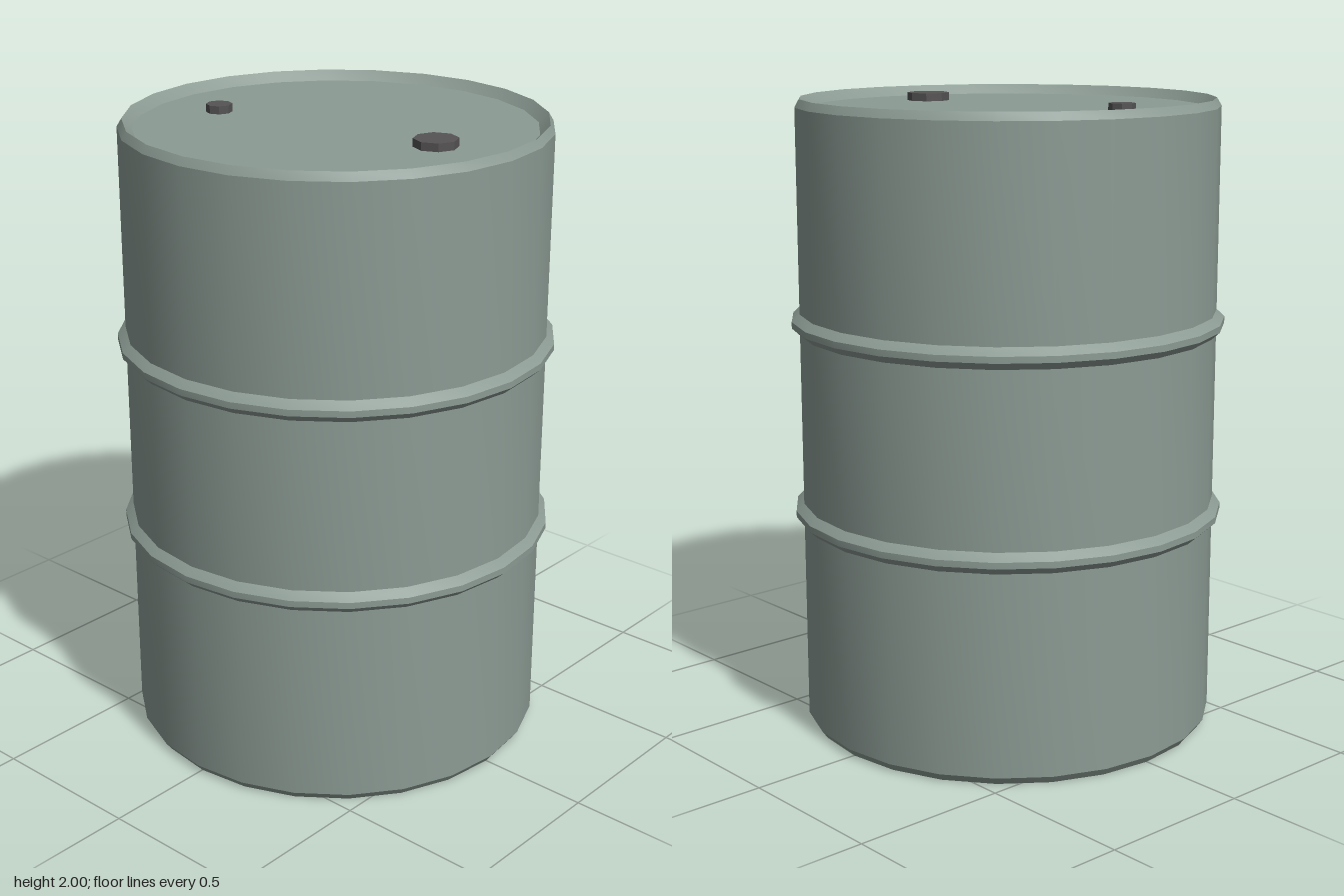
import * as THREE from 'three';
import { toCreasedNormals } from 'three/addons/utils/BufferGeometryUtils.js';

const SIDES = 24;
const paint = new THREE.MeshStandardMaterial({ color: 0x8c9b94 });
const darkMetal = new THREE.MeshStandardMaterial({ color: 0x555353 });

// Revolved part: smooth around the drum, sharp along the profile
function revolve(name, points) {
  const profile = points.map(([r, y]) => new THREE.Vector2(r, y));
  const geometry = toCreasedNormals(new THREE.LatheGeometry(profile, SIDES), 0.45);
  const mesh = new THREE.Mesh(geometry, paint);
  mesh.name = name;
  return mesh;
}

// Rolling hoop cross-section, from bottom to top
const hoop = (y) => [[0.66, y - 0.033], [0.685, y - 0.01], [0.685, y + 0.01], [0.66, y + 0.033]];

// Octagonal plug standing on the lid
function plug(name, radius, x, z) {
  const mesh = new THREE.Mesh(new THREE.CylinderGeometry(radius, radius, 0.026, 8), darkMetal);
  mesh.geometry.computeBoundingBox();
  mesh.geometry = toCreasedNormals(mesh.geometry, 0.45);
  mesh.position.set(x, 1.982, z);
  mesh.name = name;
  return mesh;
}

export function createModel() {
  const drum = new THREE.Group();
  drum.name = 'drum';

  // Bottom, chamfered foot and wall with two hoops
  drum.add(revolve('shell', [
    [0, 0], [0.642, 0], [0.66, 0.025],
    ...hoop(0.698), ...hoop(1.307),
    [0.66, 1.975], [0.645, 2],
  ]));

  // Inner rim wall and recessed lid
  drum.add(revolve('lid', [[0.645, 2], [0.615, 1.97], [0, 1.97]]));

  // Filler plugs
  drum.add(plug('largePlug', 0.068, 0.385, 0));
  drum.add(plug('smallPlug', 0.041, -0.388, 0.11));

  return drum;
}
